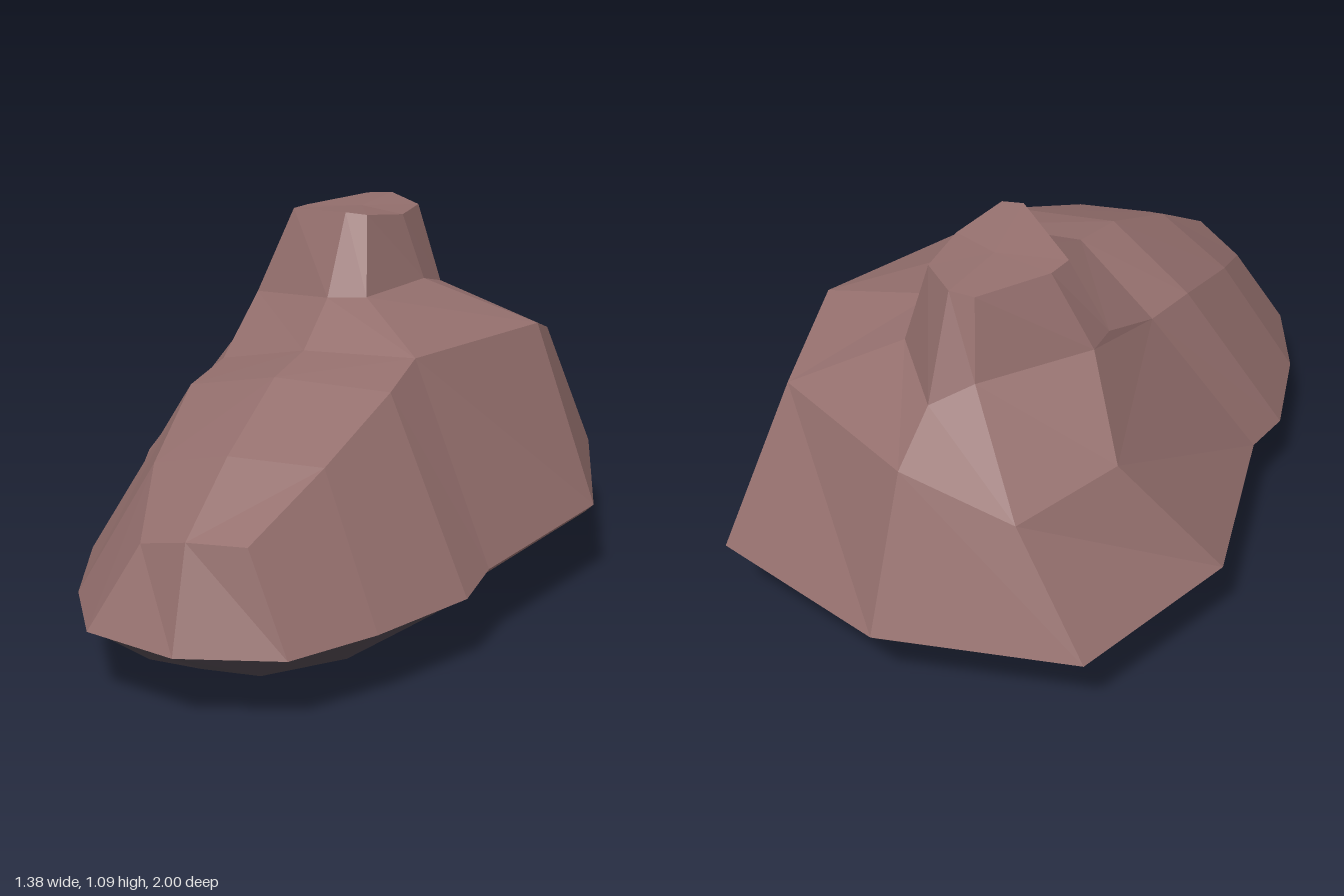
import * as THREE from 'three';

const stone = new THREE.MeshStandardMaterial({ color: 0x946f6d });
stone.name = 'dusty brown';
const dark = new THREE.MeshStandardMaterial({ color: 0x50474f });
dark.name = 'dark underside';

// Triangles between two matching rows of points, faceted
function loft(a, b, closed) {
  const out = [];
  const n = a.length;
  for (let i = 0; i < (closed ? n : n - 1); i++) {
    const j = (i + 1) % n;
    out.push(a[i], b[i], b[j], a[i], b[j], a[j]);
  }
  return out;
}

// Fan that closes a ring from above
function cap(ring) {
  const c = [0, 1, 2].map(k => ring.reduce((s, p) => s + p[k], 0) / ring.length);
  return ring.flatMap((p, i) => [c, ring[(i + 1) % ring.length], p]);
}

function part(name, points, material) {
  const g = new THREE.BufferGeometry();
  g.setAttribute('position', new THREE.Float32BufferAttribute(points.flat(), 3));
  g.computeVertexNormals();
  const mesh = new THREE.Mesh(g, material);
  mesh.name = name;
  return mesh;
}

export function createModel() {
  const group = new THREE.Group();
  group.name = 'facetedHull';

  // Widest ring, clockwise from the back
  const rim = [
    [0, .24, -1], [.54, .24, -.85], [.69, .24, -.32], [.54, .235, .23], [.53, .215, .4],
    [.38, .21, .69], [.22, .21, .92], [-.06, .21, 1], [-.33, .21, .92], [-.46, .21, .69],
    [-.55, .215, .4], [-.54, .235, .23], [-.69, .24, -.32], [-.54, .24, -.85],
  ];
  // Shoulder ring where the walls meet the deck
  const shoulder = [
    [0, .66, -.83], [.46, .66, -.62], [.51, .765, -.32], [.3, .78, .15], [.29, .74, .33],
    [.21, .62, .62], [.1, .485, .88], [-.06, .485, .9], [-.21, .44, .84], [-.28, .56, .58],
    [-.31, .67, .25], [-.29, .69, .06], [-.45, .6, -.48], [-.31, .56, -.78],
  ];
  group.add(part('walls', loft(rim, shoulder, true), stone));

  // Sloping front deck with a centre ridge
  const s = shoulder;
  const ridge = [s[7], [-.04, .635, .66], [-.02, .76, .37], [0, .785, .2]];
  group.add(part('frontDeck', [
    ...loft(ridge, [s[6], s[5], s[4], s[3]]),
    ...loft([s[8], s[9], s[10], s[11]], ridge),
  ], stone));

  // Deck rising to the tower foot
  const deckEdge = [s[0], s[1], s[2], s[3], ridge[3], s[11], s[12], s[13]];
  const foot = [
    [0, .765, -.67], [.17, .81, -.49], [.17, .86, -.33], [.1, .88, -.03],
    [0, .88, .01], [-.29, .81, -.21], [-.3, .82, -.32], [-.1, .82, -.6],
  ];
  group.add(part('rearDeck', loft(deckEdge, foot, true), stone));

  // Tower
  const top = [
    [0, 1.045, -.55], [.11, 1.04, -.46], [.115, 1.05, -.3], [.06, 1.08, -.15],
    [0, 1.085, -.14], [-.205, 1.045, -.28], [-.19, 1.04, -.35], [-.07, 1.04, -.54],
  ];
  group.add(part('tower', [...loft(foot, top, true), ...cap(top)], stone));

  // Thin lip under the rim
  const lip = rim.map(([x, y, z]) => [x * .965, y - (y > .22 ? .022 : .008), z * .975]);
  group.add(part('rimLip', loft(lip, rim, true), stone));

  // Dark underside: sloping band and keel strips
  const keel = [
    [0, .03, -.61], [.31, .03, -.52], [.34, .04, -.32], [.31, .03, 0], [.29, 0, .17],
    [.23, .04, .5], [.1, .1, .8], [-.06, .1, .81], [-.21, .1, .8], [-.27, .04, .5],
    [-.31, 0, .17], [-.33, .03, 0], [-.38, .07, -.32], [-.31, .03, -.52],
  ];
  const right = keel.slice(0, 8);
  const left = [0, 13, 12, 11, 10, 9, 8, 7].map(i => keel[i]);
  group.add(part('undersideBand', loft(keel, lip, true), dark));
  group.add(part('keel', loft(left, right), dark));

  return group;
}
